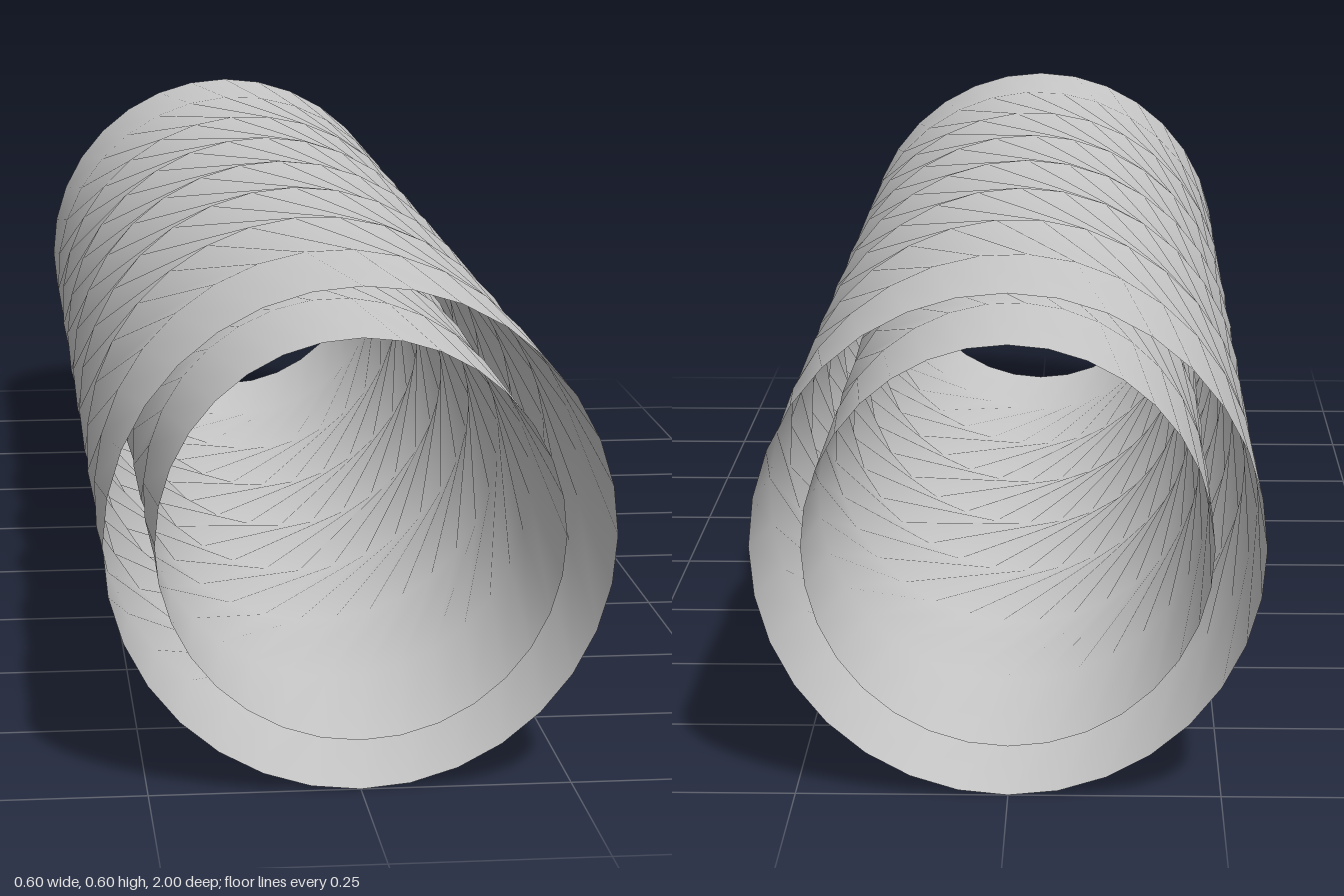
import * as THREE from 'three';

const SIDES = 32;
const RINGS = 8;
const LENGTH = 2;
const TWIST = Math.PI;
const CENTRE_Y = 0.3;

// Open tube along z whose rings turn by an eased twist from front to back
function twistedTube(radius) {
  const positions = [];
  const normals = [];
  const index = [];
  for (let k = 0; k <= RINGS; k++) {
    const t = k / RINGS;
    const turn = TWIST * t * t * (3 - 2 * t);
    for (let i = 0; i < SIDES; i++) {
      const a = (i / SIDES) * Math.PI * 2 + turn;
      positions.push(radius * Math.cos(a), radius * Math.sin(a), LENGTH * (0.5 - t));
      normals.push(Math.cos(a), Math.sin(a), 0);
    }
  }
  // Each quad is split along its longer diagonal, which gives the fluted creases
  for (let k = 0; k < RINGS; k++) {
    for (let i = 0; i < SIDES; i++) {
      const j = (i + 1) % SIDES;
      const a = k * SIDES + i;
      const b = k * SIDES + j;
      const c = (k + 1) * SIDES + j;
      const d = (k + 1) * SIDES + i;
      index.push(a, c, b, a, d, c);
    }
  }
  const geometry = new THREE.BufferGeometry();
  geometry.setAttribute('position', new THREE.Float32BufferAttribute(positions, 3));
  geometry.setAttribute('normal', new THREE.Float32BufferAttribute(normals, 3));
  geometry.setIndex(index);
  return geometry;
}

export function createModel() {
  const model = new THREE.Group();
  model.name = 'twistedDoubleTube';
  const material = new THREE.MeshStandardMaterial({ color: 0xcccccc, side: THREE.DoubleSide });

  // Two concentric sleeves, open at both ends
  for (const [name, radius] of [['outerTube', 0.3], ['innerTube', 0.24]]) {
    const tube = new THREE.Mesh(twistedTube(radius), material);
    tube.name = name;
    tube.position.y = CENTRE_Y;
    model.add(tube);
  }
  return model;
}
